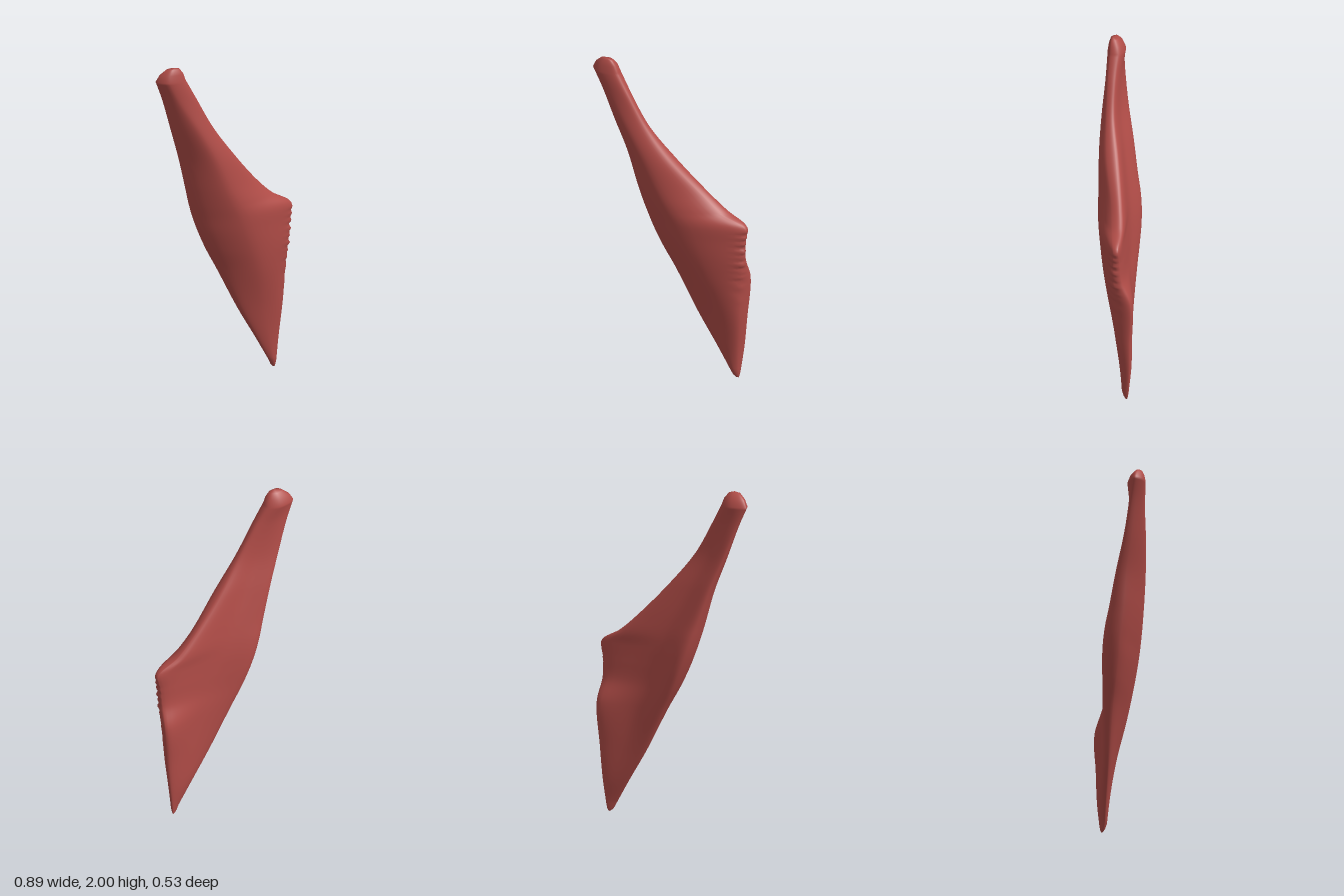
import * as THREE from 'three';
import { mergeVertices } from 'three/addons/utils/BufferGeometryUtils.js';

// Heights of the cross-sections, from the narrow top tendon to the lower tip
const HEIGHTS = [1.92, 1.8, 1.6, 1.4, 1.2, 1.1, 1.015, 0.92, 0.8, 0.66, 0.4, 0.2, 0.05];

// Rails running down the sheet, as [x, z] at each height, anticlockwise from above
const RAILS = {
  outerBack: [[-.445, .215], [-.40, .18], [-.34, .125], [-.28, .06], [-.228, .005], [-.203, -.025],
    [-.178, -.045], [-.145, -.06], [-.095, -.072], [-.025, -.087], [.105, -.122], [.22, -.165], [.303, -.19]],
  outerFront: [[-.425, .243], [-.385, .21], [-.325, .167], [-.265, .12], [-.217, .088], [-.192, .07],
    [-.168, .052], [-.132, .035], [-.082, .005], [-.012, -.035], [.113, -.095], [.223, -.145], [.303, -.18]],
  frontBelly: [[-.37, .263], [-.31, .241], [-.19, .215], [-.08, .18], [.01, .14], [.06, .115],
    [.105, .09], [.14, .063], [.18, .026], [.22, -.02], [.255, -.1], [.30, -.148], [.33, -.175]],
  frontRim: [[-.265, .21], [-.20, .19], [-.09, .145], [.05, .075], [.205, -.035], [.305, -.09],
    [.435, -.165], [.43, -.165], [.42, -.16], [.40, -.16], [.38, -.17], [.36, -.185], [.35, -.195]],
  backRim: [[-.28, .16], [-.21, .145], [-.10, .10], [.035, .005], [.20, -.10], [.30, -.155],
    [.425, -.20], [.41, -.20], [.40, -.21], [.39, -.262], [.375, -.25], [.36, -.24], [.345, -.225]],
  backBelly: [[-.36, .15], [-.30, .145], [-.22, .11], [-.13, .04], [-.04, -.03], [0, -.06],
    [.035, -.08], [.06, -.095], [.10, -.115], [.16, -.15], [.22, -.185], [.28, -.212], [.325, -.215]],
};

const ROWS = 104, SIDES = 48;

// Closed smooth outline through the rails at a fraction t of the way down
function makeSection(curves, t) {
  const points = curves.map((c) => c.getPoint(t));
  const loop = new THREE.CatmullRomCurve3(points, true, 'centripetal');
  const ring = Array.from({ length: SIDES }, (_, j) => loop.getPoint(j / SIDES));

  // Ragged attachment, close to the front rim only
  const rim = points[3], y = rim.y;
  const fade = THREE.MathUtils.smoothstep(y, 0.4, 0.8) * (1 - THREE.MathUtils.smoothstep(y, 0.96, 1.01));
  const ragged = 0.006 * fade * (Math.sin(y * 140) + 0.5 * Math.sin(y * 83));
  ring.forEach((p) => { p.x += ragged * Math.exp(-p.distanceToSquared(rim) / 0.001); });
  return ring;
}

// Pull a section towards an end point, rounding the cap
function capRing(ring, apex, pull, rise) {
  return ring.map((p) => {
    const q = p.clone().lerp(apex, pull);
    q.y = THREE.MathUtils.lerp(p.y, apex.y, rise);
    return q;
  });
}

function loft(rings) {
  const positions = [], index = [];
  rings.forEach((ring) => ring.forEach((p) => positions.push(p.x, p.y, p.z)));
  for (let i = 0; i < rings.length - 1; i++) {
    for (let j = 0; j < SIDES; j++) {
      const k = (j + 1) % SIDES;
      const a = i * SIDES + j, b = i * SIDES + k, c = a + SIDES, d = b + SIDES;
      index.push(a, c, d, a, d, b);
    }
  }
  let geometry = new THREE.BufferGeometry();
  geometry.setAttribute('position', new THREE.Float32BufferAttribute(positions, 3));
  geometry.setIndex(index);
  geometry = mergeVertices(geometry, 1e-5);
  geometry.computeVertexNormals();
  return geometry;
}

export function createModel() {
  const group = new THREE.Group();
  group.name = 'muscle';
  const muscleRed = new THREE.MeshStandardMaterial({ color: 0xb04c47 });
  muscleRed.name = 'muscle red';

  const curves = Object.values(RAILS).map((rail) => new THREE.CatmullRomCurve3(
    rail.map(([x, z], i) => new THREE.Vector3(x, HEIGHTS[i], z)), false, 'centripetal'));
  // Sample every rail at the same stations so that the corners line up
  const body = Array.from({ length: ROWS + 1 }, (_, i) => makeSection(curves, i / ROWS));

  // Rounded ends
  const top = new THREE.Vector3(-0.33, 2, 0.22);
  const tip = new THREE.Vector3(0.338, 0, -0.21);
  const first = body[0], last = body[ROWS];
  const rings = [
    capRing(first, top, 1, 1), capRing(first, top, 0.55, 0.9), capRing(first, top, 0.2, 0.5),
    ...body,
    capRing(last, tip, 0.35, 0.6), capRing(last, tip, 0.7, 0.9), capRing(last, tip, 1, 1),
  ];

  const sheet = new THREE.Mesh(loft(rings), muscleRed);
  sheet.name = 'muscleSheet';
  group.add(sheet);
  return group;
}
